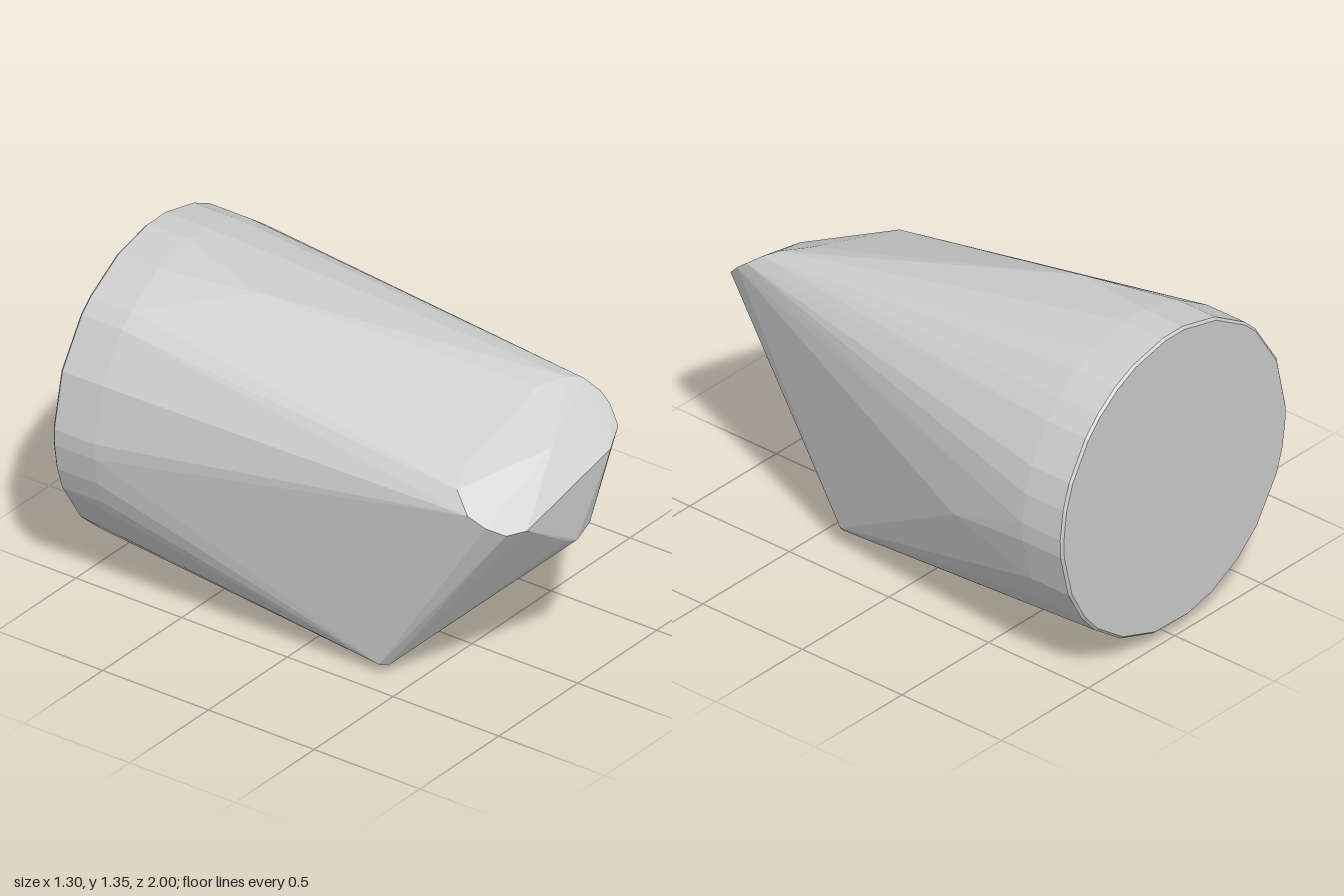
import * as THREE from 'three';
import { ConvexGeometry } from 'three/addons/geometries/ConvexGeometry.js';

const CENTRE_Y = 0.7;

// Uneven angles (degrees) of the round back end
const RIM_ANGLES = [2, 13, 23, 39, 48, 59, 69, 85, 95, 112, 130, 137, 157, 178,
  184, 194, 203, 222, 235, 250, 263, 280, 298, 314, 324, 338, 355];

function ring(radius, z) {
  return RIM_ANGLES.map((deg) => {
    const a = THREE.MathUtils.degToRad(deg);
    return new THREE.Vector3(radius * Math.cos(a), CENTRE_Y + radius * Math.sin(a), z);
  });
}

const toPoints = (list) => list.map((p) => new THREE.Vector3(...p));

export function createModel() {
  const group = new THREE.Group();
  group.name = 'taperedBody';

  // Slanted rounded pad at the nose
  const pad = toPoints([
    [-0.28, 0.98, 0.68], [0.16, 1.12, 0.69], [0.27, 1.13, 0.75], [0.32, 1.115, 0.79],
    [0.345, 1.07, 0.85], [0.34, 1.03, 0.9], [0.31, 0.97, 0.96], [0.21, 0.93, 1.0],
    [-0.28, 0.785, 0.97], [-0.36, 0.785, 0.93], [-0.41, 0.82, 0.87],
    [-0.43, 0.86, 0.8], [-0.39, 0.93, 0.72], [0.0, 0.99, 0.88],
  ]);

  // Lower tip of the nose
  const tip = toPoints([[-0.02, 0.62, 0.97], [0.03, 0.605, 0.975], [0.13, 0.63, 0.96]]);

  // Two blunt corners under the body
  const corners = toPoints([
    [-0.4, 0.045, 0.36], [-0.37, 0.035, 0.38], [-0.32, 0, 0.31],
    [0.28, 0.045, 0.33], [0.33, 0.065, 0.375], [0.355, 0.09, 0.37],
  ]);

  // Slight swellings along the taper
  const swell = toPoints([[0.585, 0.57, -0.4], [-0.15, 1.295, -0.4]]);

  // Straight collar with a narrow bevel at the back
  const collar = [...ring(0.65, -0.8), ...ring(0.65, -0.99), ...ring(0.64, -1)];

  const body = new THREE.Mesh(
    new ConvexGeometry([...pad, ...tip, ...corners, ...swell, ...collar]),
    new THREE.MeshStandardMaterial({ color: 0xcccccc, flatShading: true }),
  );
  body.name = 'body';
  group.add(body);
  return group;
}
